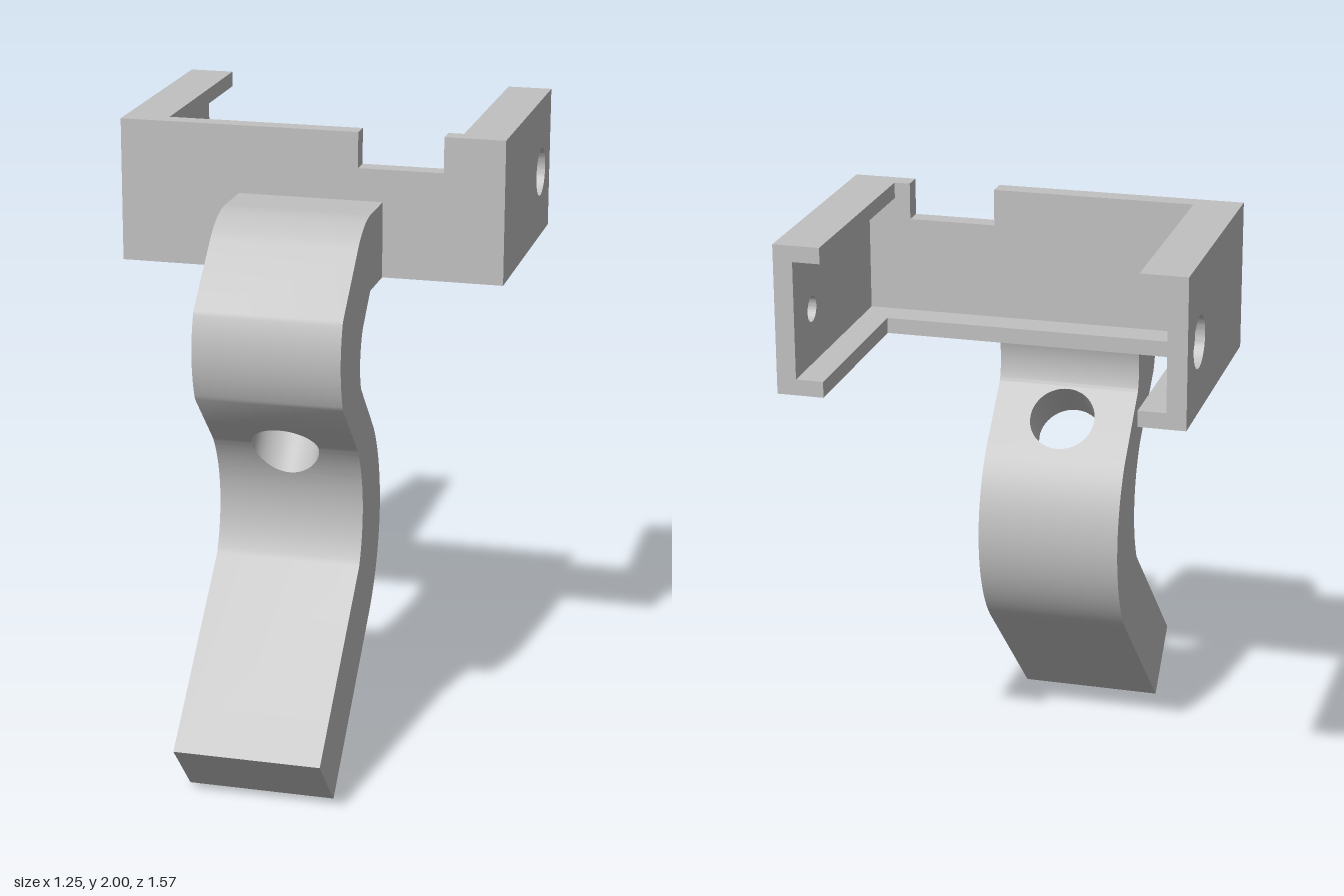
import * as THREE from 'three';
import { mergeGeometries, toCreasedNormals } from 'three/addons/utils/BufferGeometryUtils.js';

const grey = new THREE.MeshStandardMaterial({ color: 0xc0c0c0 });
grey.name = 'plain grey';

const V = (z, y) => new THREE.Vector2(z, y);

// Points on the circular arc from a through m to b
function arc(a, m, b, n = 20) {
  const d = 2 * (a.x * (m.y - b.y) + m.x * (b.y - a.y) + b.x * (a.y - m.y));
  const A = a.lengthSq(), M = m.lengthSq(), B = b.lengthSq();
  const c = V(
    (A * (m.y - b.y) + M * (b.y - a.y) + B * (a.y - m.y)) / d,
    (A * (b.x - m.x) + M * (a.x - b.x) + B * (m.x - a.x)) / d);
  const r = c.distanceTo(a);
  const start = Math.atan2(a.y - c.y, a.x - c.x);
  let sweep = Math.atan2(b.y - c.y, b.x - c.x) - start;
  sweep = Math.atan2(Math.sin(sweep), Math.cos(sweep));
  return Array.from({ length: n + 1 }, (_, i) => {
    const t = start + sweep * i / n;
    return V(c.x + r * Math.cos(t), c.y + r * Math.sin(t));
  });
}

// Extrudes a (z, y) outline along x, from x0 to x1
function extrudeX(shape, x0, x1) {
  return new THREE.ExtrudeGeometry(shape, { depth: x1 - x0, bevelEnabled: false, curveSegments: 32 })
    .rotateY(-Math.PI / 2).translate(x1, 0, 0);
}

function addMesh(parent, name, geometry) {
  const mesh = new THREE.Mesh(geometry, grey);
  mesh.name = name;
  parent.add(mesh);
  return mesh;
}

function addBox(parent, name, x0, x1, y0, y1, z0, z1) {
  addMesh(parent, name, new THREE.BoxGeometry(x1 - x0, y1 - y0, z1 - z0))
    .position.set((x0 + x1) / 2, (y0 + y1) / 2, (z0 + z1) / 2);
}

// S-shaped stem with a slanted round hole
function stemGeometry() {
  const half = 0.235, radius = 0.108, sMid = 0.96, reach = 0.114;
  const front = [
    V(0, 1.78), ...arc(V(0.16, 1.78), V(0.25, 1.76), V(0.33, 1.705)),
    ...arc(V(0.51, 1.535), V(0.537, 1.4), V(0.505, 1.25)),
    ...arc(V(0.315, 1.06), V(0.241, 0.84), V(0.285, 0.66)), V(0.785, 0.185),
  ];
  const back = [
    V(0, 1.535), V(0.16, 1.535),
    ...arc(V(0.255, 1.44), V(0.288, 1.34), V(0.275, 1.25)),
    ...arc(V(0.1, 1.065), V(0.005, 0.79), V(0.14, 0.455), 32), V(0.61, 0),
  ];
  // Slanted frame: s runs along the middle of the stem, t along the hole
  const R = Math.SQRT1_2;
  const sOf = p => (p.x + p.y) * R, tOf = p => (p.y - p.x) * R;
  const tAt = (line, s) => {
    for (let i = line.length - 1; i > 0; i--) {
      const s0 = sOf(line[i - 1]), s1 = sOf(line[i]);
      if (s0 >= s && s1 <= s) return THREE.MathUtils.lerp(tOf(line[i - 1]), tOf(line[i]), (s0 - s) / (s0 - s1));
    }
    return 0;
  };
  const pointAt = (line, s) => { const t = tAt(line, s); return V((s - t) * R, (s + t) * R); };
  const sHi = sMid + reach, sLo = sMid - reach;

  // Solid lengths above and below the hole
  const upper = [...front.filter(p => sOf(p) > sHi), pointAt(front, sHi),
    pointAt(back, sHi), ...back.filter(p => sOf(p) > sHi).reverse()];
  const lower = [pointAt(front, sLo), ...front.filter(p => sOf(p) < sLo),
    ...back.filter(p => sOf(p) < sLo).reverse(), pointAt(back, sLo)];
  const parts = [upper, lower].map(o => extrudeX(new THREE.Shape(o), -half, half));

  // Pierced length: rings go out over the front, round the sides, in over the back, through the hole
  const steps = 8, seg = 64, rings = [];
  const ring = (line, k) => Array.from({ length: seg + 1 }, (_, j) => {
    const a = j / seg * Math.PI * 2, c = Math.cos(a), n = Math.sin(a);
    const q = 1 / Math.max(Math.abs(c), Math.abs(n));
    const x = THREE.MathUtils.lerp(radius * c, half * q * c, k);
    const p = pointAt(line, sMid + THREE.MathUtils.lerp(radius * n, reach * q * n, k));
    return [x, p.y, p.x];
  });
  for (let i = 0; i <= steps; i++) rings.push(ring(front, i / steps));
  for (let i = steps; i >= 0; i--) rings.push(ring(back, i / steps));
  rings.push(rings[0]);
  const pos = [];
  for (let i = 0; i < rings.length - 1; i++) {
    for (let j = 0; j < seg; j++) {
      const a = rings[i][j], b = rings[i + 1][j], c = rings[i + 1][j + 1], d = rings[i][j + 1];
      pos.push(...a, ...b, ...c, ...a, ...c, ...d);
    }
  }
  const pierced = new THREE.BufferGeometry();
  pierced.setAttribute('position', new THREE.Float32BufferAttribute(pos, 3));
  parts.push(pierced);
  const bare = parts.map(g => {
    const h = g.index ? g.toNonIndexed() : g;
    h.deleteAttribute('uv');
    h.deleteAttribute('normal');
    h.clearGroups();
    return h;
  });
  return toCreasedNormals(mergeGeometries(bare), 0.45);
}

export function createModel() {
  const model = new THREE.Group();
  model.name = 'hookBracket';
  const W = 0.625, inner = 0.48, wall = 0.06, lip = 0.05;
  const y0 = 1.535, y1 = 2, zBack = -0.785;

  addMesh(model, 'stem', stemGeometry());

  // Front wall with a notch in its top edge
  const outline = new THREE.Shape([
    V(-W, y0), V(W, y0), V(W, y1), V(0.43, y1), V(0.43, 1.885), V(0.155, 1.885), V(0.155, y1), V(-W, y1),
  ]);
  addMesh(model, 'frontWall', new THREE.ExtrudeGeometry(outline, { depth: wall, bevelEnabled: false })
    .translate(0, 0, -wall));
  addBox(model, 'frontLowerLip', -inner, inner, y0, y0 + lip, -0.16, -wall);

  // Arms: channel sections with a counterbored screw hole
  const webLayer = (radius, x0, x1) => {
    const s = new THREE.Shape([V(zBack, y0), V(-wall, y0), V(-wall, y1), V(zBack, y1)]);
    s.holes.push(new THREE.Path().absarc(-0.625, 1.755, radius, 0, Math.PI * 2, true));
    return toCreasedNormals(extrudeX(s, x0, x1), 0.5);
  };
  for (const side of [1, -1]) {
    const arm = new THREE.Group();
    arm.name = side > 0 ? 'leftArm' : 'rightArm';
    const span = (a, b) => (side > 0 ? [a, b] : [-b, -a]);
    addMesh(arm, 'outerWeb', webLayer(0.08, ...span(W - 0.03, W)));
    addMesh(arm, 'innerWeb', webLayer(0.04, ...span(W - wall, W - 0.03)));
    addBox(arm, 'upperLip', ...span(inner, W - wall), y1 - lip, y1, zBack, -wall);
    addBox(arm, 'lowerLip', ...span(inner, W - wall), y0, y0 + lip, zBack, -wall);
    model.add(arm);
  }
  return model;
}
